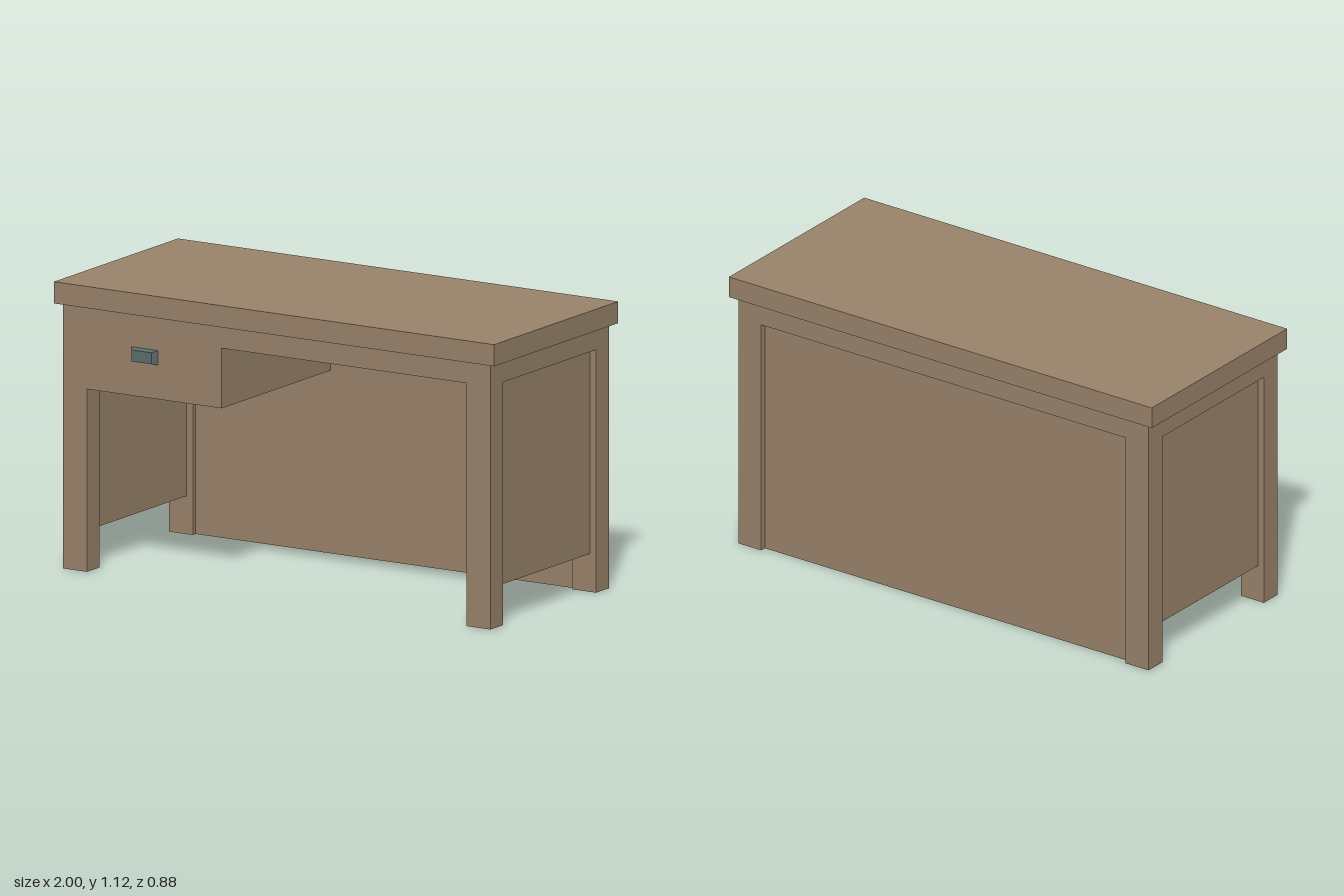
import * as THREE from 'three';

const wood = new THREE.MeshStandardMaterial({ color: 0x9a836a, flatShading: true });
const metal = new THREE.MeshStandardMaterial({ color: 0x5c6c6c, flatShading: true });

// Box given by its extents along each axis
function block(name, [x0, x1], [y0, y1], [z0, z1], material = wood) {
  const mesh = new THREE.Mesh(new THREE.BoxGeometry(x1 - x0, y1 - y0, z1 - z0), material);
  mesh.position.set((x0 + x1) / 2, (y0 + y1) / 2, (z0 + z1) / 2);
  mesh.name = name;
  return mesh;
}

export function createModel() {
  const desk = new THREE.Group();
  desk.name = 'desk';
  const outX = 0.97, inX = 0.862;      // leg faces across the width
  const outZ = 0.42, inZ = 0.33;       // leg faces across the depth
  const railY = 0.953, topY = 1.04;    // rail underside, tabletop underside

  // Tabletop
  desk.add(block('tabletop', [-1, 1], [topY, 1.125], [-0.44, 0.44]));

  // Legs, side rails and recessed side panels
  for (const s of [-1, 1]) {
    const side = s > 0 ? 'left' : 'right';
    const span = (a, b) => (s > 0 ? [a, b] : [-b, -a]);
    desk.add(
      block(side + 'FrontLeg', span(inX, outX), [0, topY], [inZ, outZ]),
      block(side + 'BackLeg', span(inX, outX), [0, topY], [-outZ, -inZ]),
      block(side + 'Rail', span(inX, outX), [railY, topY], [-inZ, inZ]),
      block(side + 'Panel', span(0.89, 0.943), [0.15, railY], [-inZ, inZ])
    );
  }

  // Front and back rails, recessed back panel reaching the floor
  desk.add(
    block('frontRail', [-inX, inX], [railY, topY], [inZ, outZ]),
    block('backRail', [-inX, inX], [railY, topY], [-outZ, -inZ]),
    block('backPanel', [-inX, inX], [0, railY], [-0.396, -0.35])
  );

  // Drawer, flush with the front rail
  desk.add(
    block('drawerFront', [-inX, -0.25], [0.717, railY], [inZ, outZ]),
    block('drawerBody', [-0.89, -0.25], [0.717, railY], [-0.35, inZ])
  );

  // Handle: a block tapering towards the front
  const handle = block('drawerHandle', [-0.66, -0.538], [0.85, 0.909], [0.418, 0.444], metal);
  const pos = handle.geometry.attributes.position;
  for (let i = 0; i < pos.count; i++) {
    if (pos.getZ(i) > 0) pos.setXY(i, pos.getX(i) * 0.74, pos.getY(i) * 0.76);
  }
  handle.geometry.computeVertexNormals();
  desk.add(handle);

  return desk;
}
